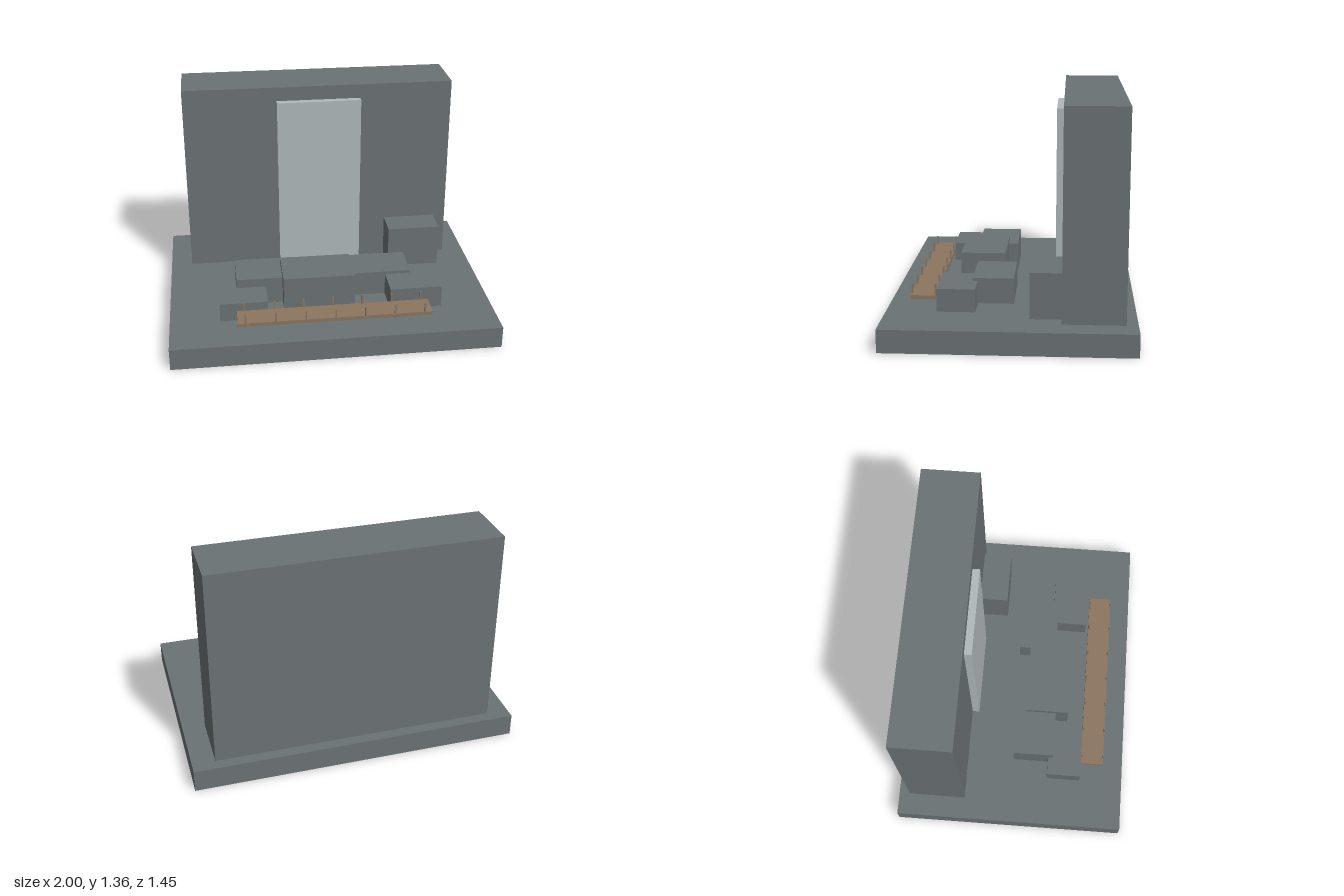
import * as THREE from 'three';

export function createModel() {
  const model = new THREE.Group();
  model.name = 'waterfallDiorama';

  const material = (name, color) => {
    const m = new THREE.MeshStandardMaterial({ color });
    m.name = name;
    return m;
  };
  const stone = material('stone grey', 0x6b7274);
  const water = material('pale water', 0xb0b9bb);
  const wood = material('wood brown', 0x8c7660);

  // Box given by its limits along each axis
  const block = (name, mat, [x0, x1], [y0, y1], [z0, z1], parent = model) => {
    const mesh = new THREE.Mesh(new THREE.BoxGeometry(x1 - x0, y1 - y0, z1 - z0), mat);
    mesh.position.set((x0 + x1) / 2, (y0 + y1) / 2, (z0 + z1) / 2);
    mesh.name = name;
    parent.add(mesh);
  };

  // Ground slab, cliff and the sheet of falling water
  const ground = 0.137;
  block('base', stone, [-1, 1], [0, ground], [-0.727, 0.727]);
  block('cliff', stone, [-0.864, 0.861], [ground, 1.364], [-0.659, -0.297]);
  block('waterfall', water, [-0.27, 0.268], [ground, 1.274], [-0.297, -0.252]);

  // Rocks: x range, top height, z range
  const rocks = new THREE.Group();
  rocks.name = 'rocks';
  model.add(rocks);
  [
    [[-0.582, -0.198], 0.311, [0.005, 0.264]],
    [[-0.295, 0.151], 0.343, [0.066, 0.345]],
    [[0.16, 0.52], 0.293, [-0.009, 0.236]],
    [[0.36, 0.684], 0.275, [0.206, 0.431]],
    [[-0.694, -0.4], 0.255, [0.232, 0.449]],
    [[0.444, 0.782], 0.411, [-0.297, -0.114]],
  ].forEach(([x, top, z], i) => block(`rock${i + 1}`, stone, x, [ground, top], z, rocks));

  // Footbridge deck with a row of posts along each edge
  const bridge = new THREE.Group();
  bridge.name = 'footbridge';
  model.add(bridge);
  block('deck', wood, [-0.592, 0.592], [0.18, 0.204], [0.451, 0.597], bridge);
  for (let i = -3; i <= 3; i++) {
    const x = i * 0.1815;
    for (const z of [0.455, 0.592]) {
      block('post', wood, [x - 0.005, x + 0.005], [0.204, 0.262], [z - 0.005, z + 0.005], bridge);
    }
  }

  return model;
}
